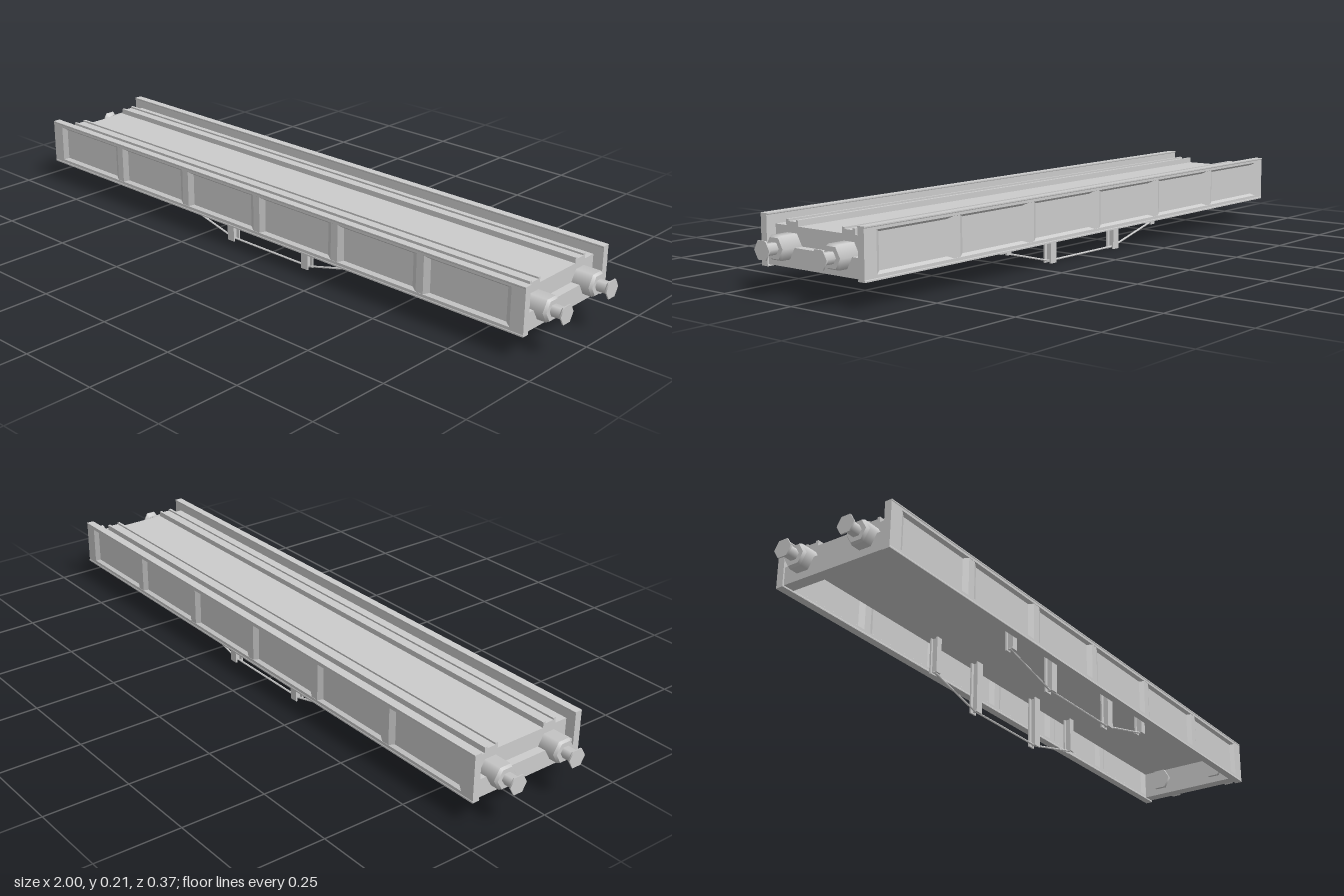
import * as THREE from 'three';

export function createModel() {
  const model = new THREE.Group();
  model.name = 'flatWagonFrame';
  const flat = new THREE.MeshStandardMaterial({ color: 0xcccccc, flatShading: true });
  const smooth = new THREE.MeshStandardMaterial({ color: 0xcccccc });

  const add = (name, geo, parent = model, mat = flat) => {
    const mesh = new THREE.Mesh(geo, mat);
    mesh.name = name;
    parent.add(mesh);
    return mesh;
  };
  // box given by its minimum and maximum on each axis
  const box = (name, x0, x1, y0, y1, z0, z1, parent) => {
    const geo = new THREE.BoxGeometry(x1 - x0, y1 - y0, z1 - z0);
    geo.translate((x0 + x1) / 2, (y0 + y1) / 2, (z0 + z1) / 2);
    return add(name, geo, parent);
  };
  const group = (name) => {
    const g = new THREE.Group();
    g.name = name;
    model.add(g);
    return g;
  };
  const extrude = (points, depth) => new THREE.ExtrudeGeometry(
    new THREE.Shape(points.map(([x, y]) => new THREE.Vector2(x, y))), { depth, bevelEnabled: false });

  // thin deck, with a stepped beam closing each end
  box('deck', -0.9, 0.9, 0.16, 0.176, -0.163, 0.163);
  for (const s of [-1, 1]) {
    const xBox = (name, a, b, y0, y1, z) =>
      box(name, Math.min(s * a, s * b), Math.max(s * a, s * b), y0, y1, -z, z);
    xBox('endBeam', 0.9, 0.925, 0.075, 0.127, 0.183);
    xBox('endWall', 0.89, 0.9, 0.075, 0.16, 0.163);
  }

  // I-shaped girder section with sloping flanges, run along x
  const inner = [[0.0115, 0.07], [0.0115, 0.074], [0.0105, 0.076], [0.0105, 0.084], [0.0015, 0.091],
    [0.0015, 0.17], [0.0105, 0.176], [0.0105, 0.201], [0.0115, 0.203], [0.0115, 0.206]];
  const outer = [[-0.0115, 0.206], [-0.0115, 0.203], [-0.0105, 0.201], [-0.0105, 0.194], [-0.0015, 0.187],
    [-0.0015, 0.091], [-0.0105, 0.084], [-0.0105, 0.076], [-0.0115, 0.074], [-0.0115, 0.07]];
  const girderGeo = extrude([...inner, ...outer], 1.86);
  girderGeo.translate(0, 0, -0.93);
  girderGeo.rotateY(Math.PI / 2);

  // ribs crossing the web, tapering towards both faces
  const ribGeo = extrude([[-0.012, -0.01], [0.012, -0.01], [0.029, -0.0015], [0.029, 0.0015],
    [0.012, 0.01], [-0.012, 0.01], [-0.029, 0.0015], [-0.029, -0.0015]], 0.116);
  ribGeo.rotateX(-Math.PI / 2);
  const endGeo = extrude([[0.888, -0.0105], [0.93, -0.0105], [0.93, 0.0105], [0.888, 0.0105],
    [0.872, 0.0015], [0.872, -0.0015]], 0.116);
  endGeo.rotateX(-Math.PI / 2);

  for (const s of [-1, 1]) {
    const side = s > 0 ? 'front' : 'back';
    const zBox = (parent, name, x0, x1, y0, y1, za, zb) =>
      box(name, x0, x1, y0, y1, Math.min(s * za, s * zb), Math.max(s * za, s * zb), parent);

    // panelled side girder
    const girder = group(side + 'SideGirder');
    girder.position.z = s * 0.1735;
    girder.rotation.y = s > 0 ? 0 : Math.PI;
    add('girderBeam', girderGeo, girder);
    for (let i = -2; i <= 2; i++) add('rib', ribGeo, girder).position.set(i * 0.3, 0.08, 0);
    for (const turn of [0, Math.PI]) {
      const end = add('endPlate', endGeo, girder);
      end.position.y = 0.08;
      end.rotation.y = turn;
    }

    // shallow channel rail on the deck
    const rail = group(side + 'Rail');
    zBox(rail, 'railBase', -0.9, 0.9, 0.176, 0.187, 0.079, 0.123);
    zBox(rail, 'railInnerLip', -0.9, 0.9, 0.187, 0.192, 0.079, 0.087);
    zBox(rail, 'railOuterLip', -0.9, 0.9, 0.187, 0.192, 0.115, 0.123);

    // H-section posts and brackets hanging from the deck, joined by a rod
    const truss = group(side + 'Truss');
    const post = (name, x, w, bottom) => {
      zBox(truss, name + 'Plate', x - w, x + w, bottom, 0.162, 0.117, 0.122);
      zBox(truss, name + 'Plate', x - w, x + w, bottom, 0.162, 0.138, 0.143);
      zBox(truss, name + 'Web', x - 0.003, x + 0.003, bottom + 0.004, 0.162, 0.122, 0.138);
    };
    for (const e of [-1, 1]) {
      post('post', e * 0.15, 0.013, 0);
      post('bracket', e * 0.345, 0.01, 0.05);
    }
    const pts = [[-0.35, 0.055], [-0.155, 0.006], [0.155, 0.006], [0.35, 0.055]]
      .map(([x, y]) => new THREE.Vector3(x, y, s * 0.13));
    for (let i = 0; i < 3; i++) {
      const dir = pts[i + 1].clone().sub(pts[i]);
      const rod = add('trussRod', new THREE.CylinderGeometry(0.003, 0.003, dir.length(), 6), truss);
      rod.position.copy(pts[i]).addScaledVector(dir, 0.5);
      rod.quaternion.setFromUnitVectors(new THREE.Vector3(0, 1, 0), dir.normalize());
    }
  }

  // hexagonal buffers: [name, inner radius, outer radius, inner x, outer x]
  const bufferParts = [
    ['housing', 0.036, 0.036, 0.88, 0.952], ['housingEnd', 0.036, 0.031, 0.952, 0.96],
    ['shaft', 0.017, 0.017, 0.96, 0.988], ['head', 0.017, 0.028, 0.988, 0.996],
    ['headFace', 0.028, 0.028, 0.996, 1],
  ];
  for (const s of [-1, 1]) {
    for (const z of [-0.102, 0.102]) {
      const buffer = group('buffer');
      buffer.position.set(0, 0.127, z);
      buffer.rotation.y = s > 0 ? 0 : Math.PI;
      for (const [name, r0, r1, x0, x1] of bufferParts) {
        const geo = new THREE.CylinderGeometry(r1, r0, x1 - x0, 6);
        geo.rotateZ(-Math.PI / 2);
        geo.translate((x0 + x1) / 2, 0, 0);
        add(name, geo, buffer, smooth);
      }
    }
  }
  return model;
}
